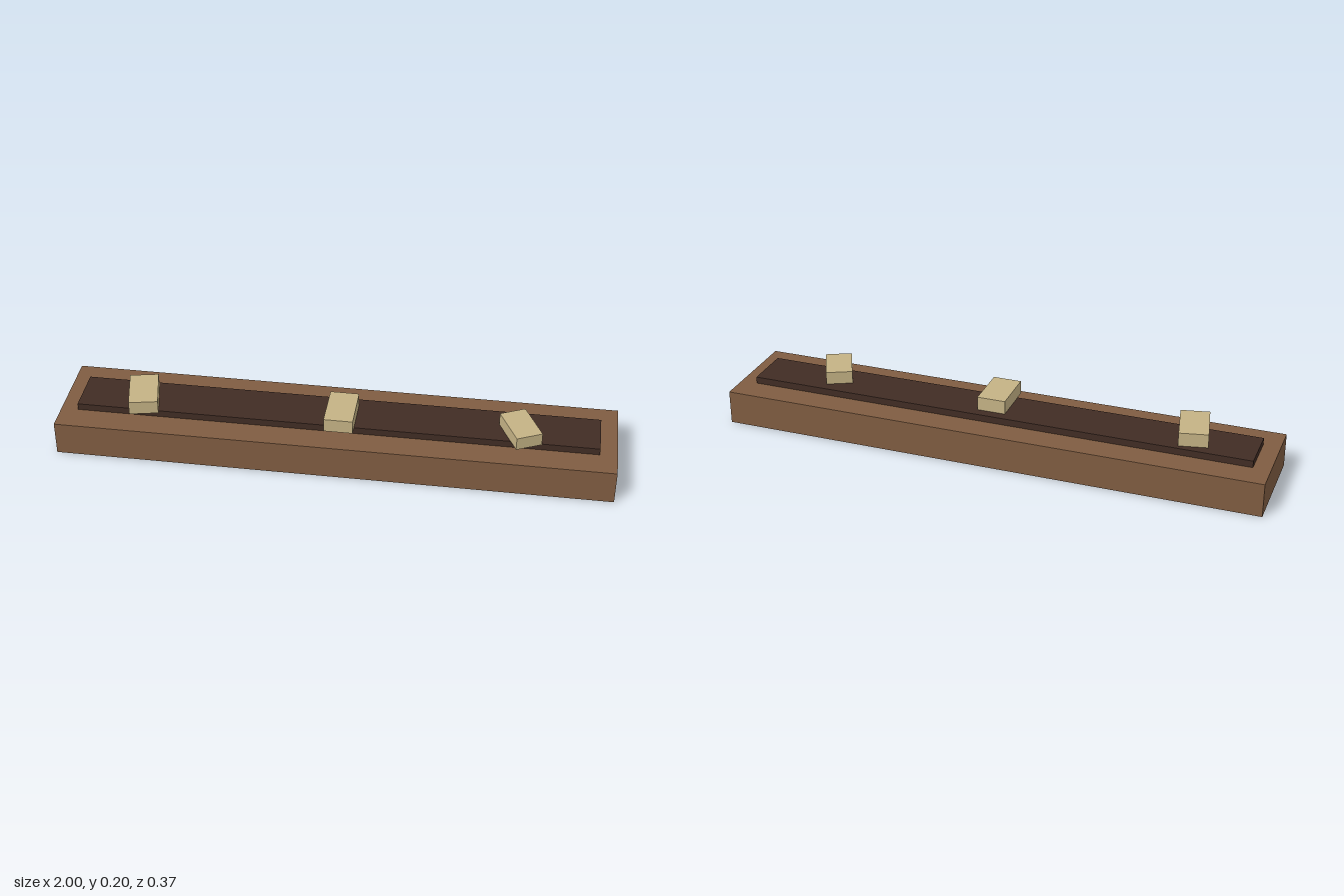
import * as THREE from 'three';

export function createModel() {
  const model = new THREE.Group();
  const wood = new THREE.MeshStandardMaterial({ name: 'brownWood', color: 0x7f5c41, side: THREE.DoubleSide });
  const dark = new THREE.MeshStandardMaterial({ name: 'darkWood', color: 0x402c24 });
  const pale = new THREE.MeshStandardMaterial({ name: 'paleBlock', color: 0xc4b284 });

  function add(name, geometry, material, x, y, z, turn = 0) {
    const mesh = new THREE.Mesh(geometry, material);
    mesh.name = name;
    mesh.position.set(x, y, z);
    mesh.rotation.y = THREE.MathUtils.degToRad(turn);
    model.add(mesh);
  }

  // Hollow base: a box shell without its underside (face group 3 is -y)
  const shell = new THREE.BoxGeometry(2, 0.125, 0.374);
  const faces = Array.from(shell.index.array);
  faces.splice(shell.groups[3].start, shell.groups[3].count);
  shell.setIndex(faces);
  shell.clearGroups();
  add('base', shell, wood, 0, 0.0625, 0);

  // Raised dark panel
  add('panel', new THREE.BoxGeometry(1.876, 0.025, 0.174), dark, 0, 0.1375, 0);

  // Loose blocks: name, x, z, width, height, depth, turn in degrees
  const blocks = [
    ['rightBlock', -0.704, 0.026, 0.104, 0.05, 0.173, 12],
    ['middleBlock', 0.019, 0.035, 0.104, 0.05, 0.173, 0],
    ['leftBlock', 0.657, 0.041, 0.097, 0.047, 0.157, 25.5],
  ];
  for (const [name, x, z, w, h, d, turn] of blocks) {
    add(name, new THREE.BoxGeometry(w, h, d), pale, x, 0.15 + h / 2, z, turn);
  }
  return model;
}
